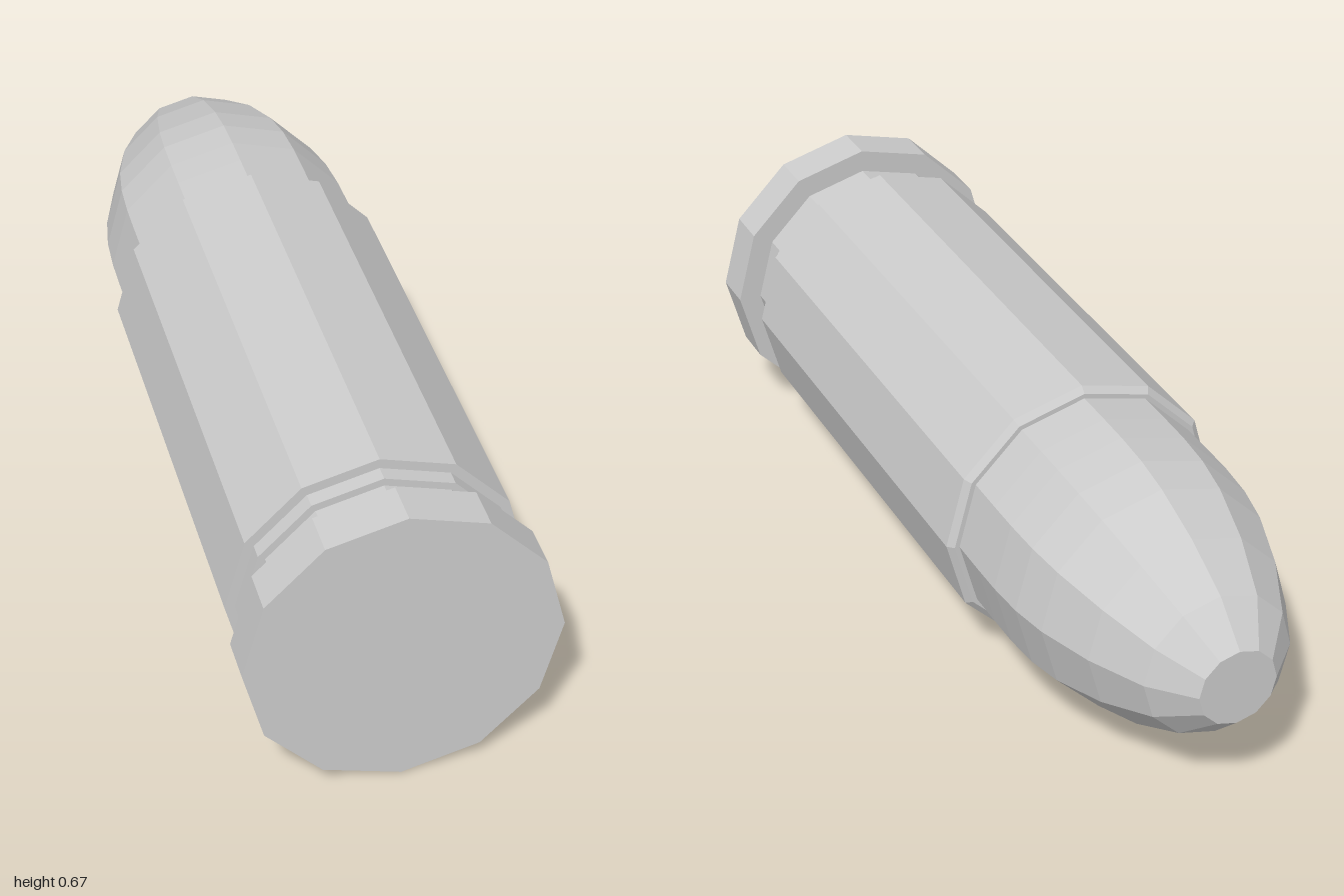
import * as THREE from 'three';

const SIDES = 12;
const RADIUS = 0.333;

// Revolves [radius, z] pairs (from the tip at -z to the base at +z) around the z axis.
function turned(name, profile, material) {
  const points = profile.map(([r, z]) => new THREE.Vector2(r, z));
  const geometry = new THREE.LatheGeometry(points, SIDES);
  geometry.rotateX(Math.PI / 2);
  geometry.translate(0, RADIUS, 0);
  const mesh = new THREE.Mesh(geometry, material);
  mesh.name = name;
  return mesh;
}

export function createModel() {
  const group = new THREE.Group();
  group.name = 'cartridge';
  const material = new THREE.MeshStandardMaterial({ color: 0xcccccc, flatShading: true });

  // Rounded tip with a flat nose
  group.add(turned('bullet', [
    [0, -1], [0.088, -1], [0.168, -0.915], [0.229, -0.79], [0.271, -0.66],
    [0.287, -0.57], [0.293, -0.48], [0.294, -0.4], [0.294, -0.3],
  ], material));

  // Case: chamfered mouth, body, step, extractor groove and rim
  group.add(turned('case', [
    [0.292, -0.308], [0.305, -0.308], [0.319, -0.295], [0.319, 0.79],
    [0.297, 0.79], [0.297, 0.825], [0.28, 0.825], [0.28, 0.9],
    [RADIUS, 0.9], [RADIUS, 1], [0, 1],
  ], material));

  return group;
}
